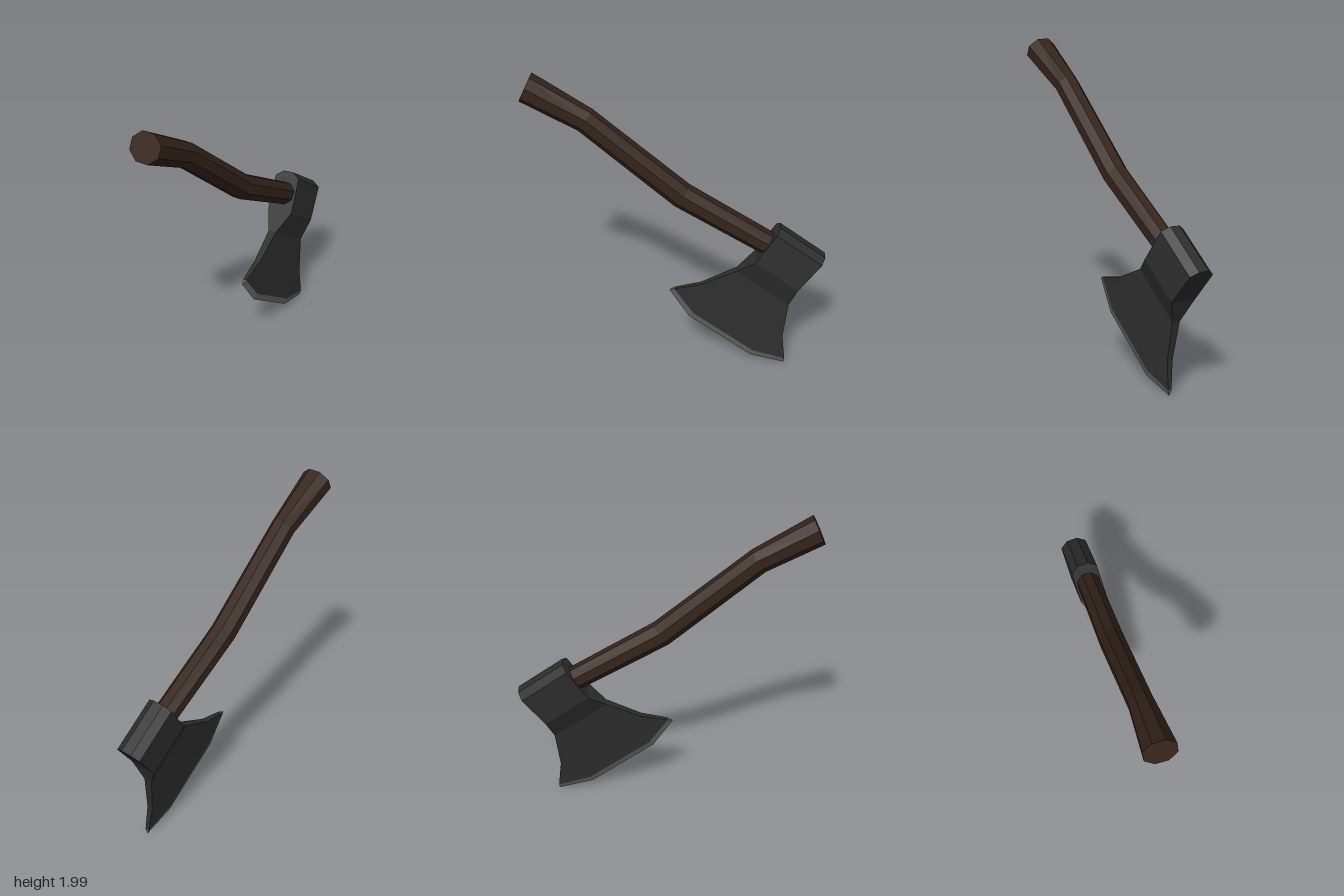
import * as THREE from 'three';

const deg = THREE.MathUtils.degToRad;

const material = (color) => new THREE.MeshStandardMaterial({ color, flatShading: true, roughness: 0.8 });

// Skin a list of equal-length rings (counter-clockwise about the loft direction)
function loft(rings, capStart, capEnd) {
  const pos = [];
  const tri = (...pts) => pts.forEach((p) => pos.push(p.x, p.y, p.z));
  const n = rings[0].length;
  for (let k = 0; k + 1 < rings.length; k++) {
    const r = rings[k], s = rings[k + 1];
    for (let i = 0; i < n; i++) {
      const j = (i + 1) % n;
      tri(r[i], r[j], s[j]);
      tri(r[i], s[j], s[i]);
    }
  }
  const first = rings[0], last = rings[rings.length - 1];
  for (let i = 1; i + 1 < n; i++) {
    if (capStart) tri(first[0], first[i + 1], first[i]);
    if (capEnd) tri(last[0], last[i], last[i + 1]);
  }
  const geo = new THREE.BufferGeometry();
  geo.setAttribute('position', new THREE.Float32BufferAttribute(pos, 3));
  geo.computeVertexNormals();
  return geo;
}

// Octagonal handle section: centre, tilt in degrees, half height, half width
function handleRing([x, y, tilt, hh, hw]) {
  const t = deg(tilt), k = 1 / Math.cos(Math.PI / 8);
  return Array.from({ length: 8 }, (_, i) => {
    const a = ((i + 0.5) * Math.PI) / 4;
    const up = Math.cos(a) * hh * k;
    return new THREE.Vector3(x + up * Math.sin(t), y + up * Math.cos(t), Math.sin(a) * hw * k);
  });
}

// Head section: distance toward the edge, half length, half thickness, bulge of the middle
function headRing([d, half, thick, bulge]) {
  const cols = [1, 0.54, -0.54, -1];
  const point = (c, z) =>
    new THREE.Vector3(0.09 + c * half, -(d + (Math.abs(c) < 1 ? bulge : 0)), z);
  return [...cols.map((c) => point(c, thick)), ...cols.reverse().map((c) => point(c, -thick))];
}

function part(name, geometry, color) {
  const mesh = new THREE.Mesh(geometry, material(color));
  mesh.name = name;
  return mesh;
}

export function createModel() {
  const model = new THREE.Group();
  model.name = 'axe';

  // Bent wooden handle, running into the head
  const handle = [
    [-0.9, 1.925, 25, 0.086, 0.097],
    [-0.547, 1.725, 35, 0.074, 0.072],
    [0.044, 1.23, 35, 0.078, 0.075],
    [0.72, 0.835, 30, 0.07, 0.07],
  ].map(handleRing);
  model.add(part('handle', loft(handle, true, true), 0x35241a));

  // Head: chamfered poll, eye block, neck and flaring blade
  const head = new THREE.Group();
  head.name = 'head';
  const bladeEnd = [0.63, 0.45, 0.013, 0.076];
  const body = [
    [-0.143, 0.178, 0.035, 0],
    [-0.105, 0.178, 0.086, 0],
    [0.13, 0.17, 0.088, 0],
    [0.275, 0.21, 0.028, 0],
    [0.495, 0.33, 0.02, 0],
    bladeEnd,
  ].map(headRing);
  head.add(part('headBody', loft(body, true, false), 0x2e2e2e));

  // Ground cutting edge
  const edge = [bladeEnd, [0.66, 0.468, 0.001, 0.086]].map(headRing);
  head.add(part('cuttingEdge', loft(edge, false, true), 0x626262));

  head.position.set(0.656, 0.87, 0);
  head.rotation.set(deg(-5.5), 0, deg(-35), 'ZYX');
  model.add(head);

  // Turn the whole axe across the diagonal
  model.rotation.y = deg(23.9);
  const root = new THREE.Group();
  root.name = 'model';
  root.add(model);
  return root;
}
